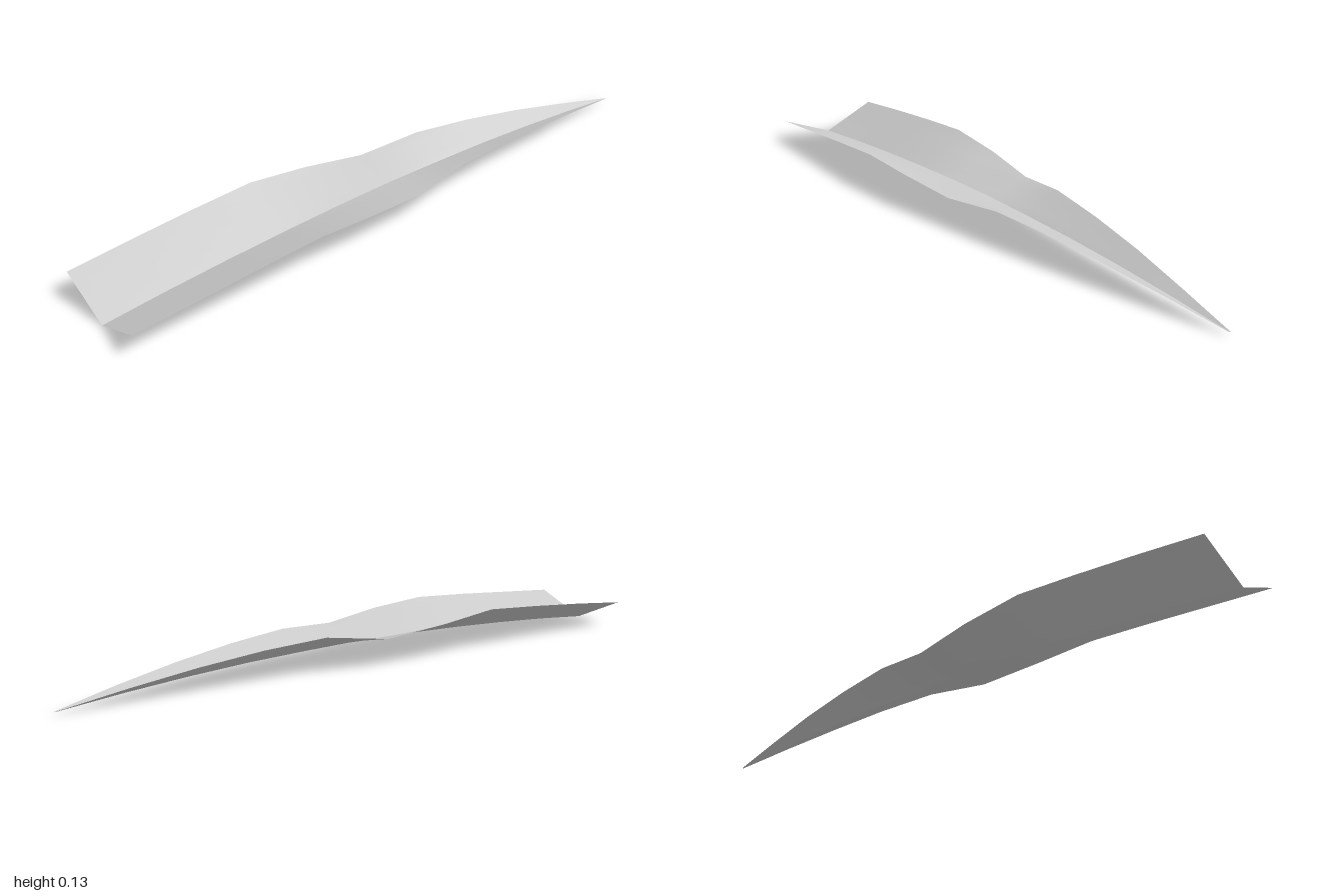
import * as THREE from 'three';

// Stations along the blade: x, spine height, front edge (z, y), back edge (z, y)
const STATIONS = [
  [-1.0, 0.000, 0.170, 0.070, -0.179, 0.079],
  [-0.8, 0.018, 0.173, 0.086, -0.177, 0.099],
  [-0.6, 0.032, 0.176, 0.102, -0.175, 0.116],
  [-0.4, 0.043, 0.178, 0.115, -0.172, 0.130],
  [-0.2, 0.051, 0.173, 0.104, -0.170, 0.108],
  [0.0, 0.055, 0.150, 0.085, -0.146, 0.087],
  [0.2, 0.053, 0.119, 0.099, -0.109, 0.113],
  [0.4, 0.049, 0.092, 0.088, -0.085, 0.100],
  [0.6, 0.040, 0.065, 0.068, -0.060, 0.077],
  [0.8, 0.027, 0.034, 0.042, -0.032, 0.046],
  [1.0, 0.010, 0.000, 0.011, -0.005, 0.011],
];
const SPINE_Z = -0.003;
const ACROSS = 4;

// One half of the folded blade, swept from the spine out to its edge
function wingGeometry(side) {
  const positions = [];
  const indices = [];
  const row = ACROSS + 1;
  STATIONS.forEach(([x, spineY, frontZ, frontY, backZ, backY], i) => {
    const edgeZ = side > 0 ? frontZ : backZ;
    const edgeY = side > 0 ? frontY : backY;
    for (let j = 0; j <= ACROSS; j++) {
      const t = j / ACROSS;
      positions.push(x, THREE.MathUtils.lerp(spineY, edgeY, t), THREE.MathUtils.lerp(SPINE_Z, edgeZ, t));
      if (i === 0 || j === 0) continue;
      const d = i * row + j, c = d - 1, b = d - row, a = b - 1;
      // Upper surface is the front of each face
      if (side > 0) indices.push(a, b, d, a, d, c);
      else indices.push(a, d, b, a, c, d);
    }
  });
  const geometry = new THREE.BufferGeometry();
  geometry.setAttribute('position', new THREE.Float32BufferAttribute(positions, 3));
  geometry.setIndex(indices);
  geometry.computeVertexNormals();
  return geometry;
}

export function createModel() {
  const model = new THREE.Group();
  model.name = 'foldedBlade';
  const grey = new THREE.MeshStandardMaterial({ color: 0xcccccc, side: THREE.DoubleSide });
  grey.name = 'light grey';

  // Separate halves keep the spine fold sharp
  for (const [name, side] of [['frontHalf', 1], ['backHalf', -1]]) {
    const half = new THREE.Mesh(wingGeometry(side), grey);
    half.name = name;
    model.add(half);
  }
  return model;
}
